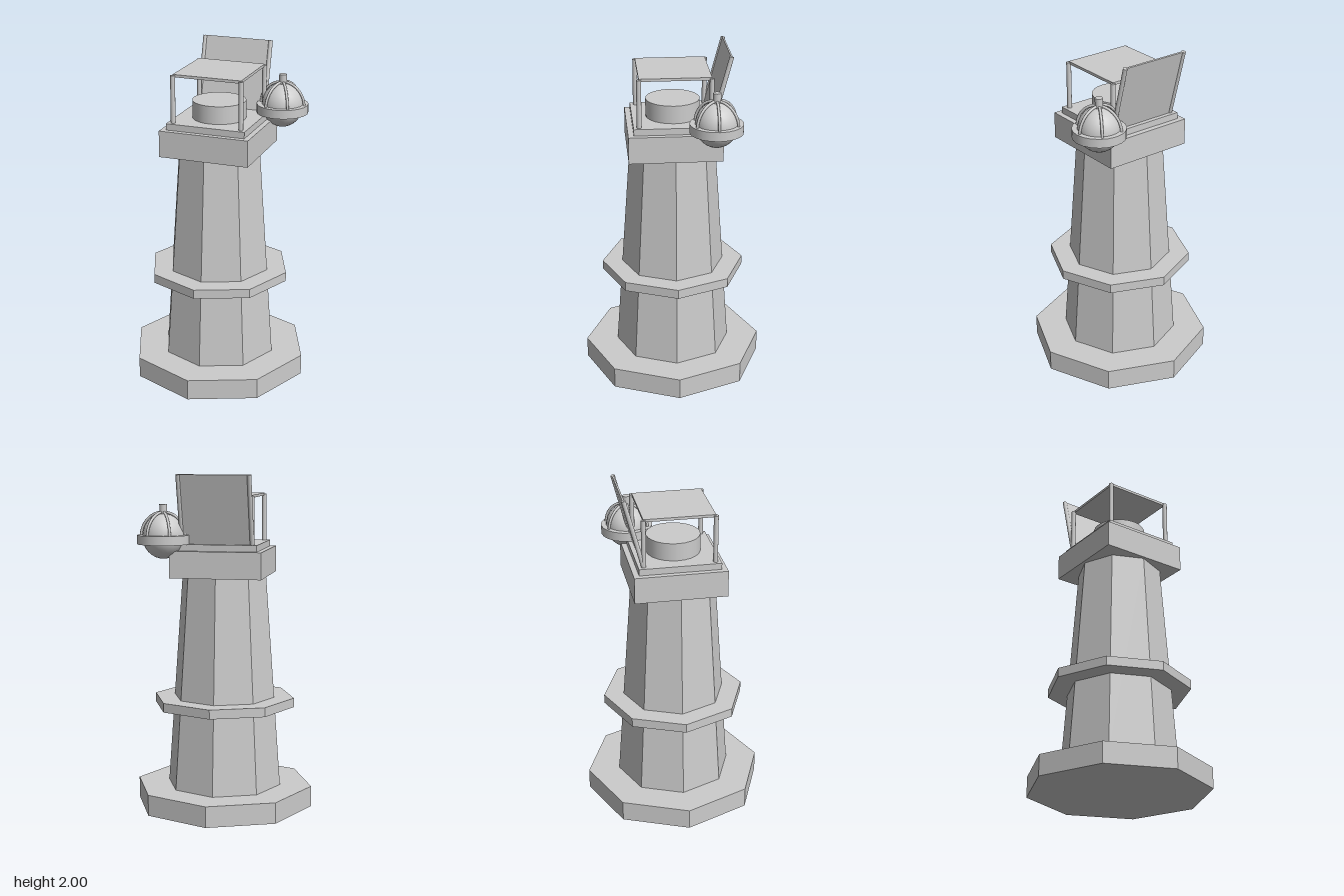
import * as THREE from 'three';

export function createModel() {
  const model = new THREE.Group();
  model.name = 'lighthouseTower';

  const stone = new THREE.MeshStandardMaterial({ color: 0xcccccc });
  stone.name = 'pale grey';
  // Faceted copy of the same colour for the masonry
  const faceted = new THREE.MeshStandardMaterial({ color: 0xcccccc });
  faceted.name = 'pale grey faceted';
  faceted.flatShading = true;

  const add = (name, geometry, material = stone, parent = model) => {
    const mesh = new THREE.Mesh(geometry, material);
    mesh.name = name;
    parent.add(mesh);
    return mesh;
  };
  // Upright prism between two heights
  const drum = (name, rTop, rBottom, y0, y1, sides, material, parent) => {
    const mesh = add(name, new THREE.CylinderGeometry(rTop, rBottom, y1 - y0, sides), material, parent);
    mesh.position.y = (y0 + y1) / 2;
    return mesh;
  };
  const slab = (name, width, y0, y1) => {
    add(name, new THREE.BoxGeometry(width, y1 - y0, width)).position.y = (y0 + y1) / 2;
  };
  // Round rod between two points
  const rod = (name, a, b, radius) => {
    const from = new THREE.Vector3(...a), to = new THREE.Vector3(...b);
    const mesh = add(name, new THREE.CylinderGeometry(radius, radius, from.distanceTo(to), 12));
    mesh.position.lerpVectors(from, to, 0.5);
    mesh.quaternion.setFromUnitVectors(new THREE.Vector3(0, 1, 0), to.sub(from).normalize());
  };

  // Octagonal masonry
  drum('plinth', 0.537, 0.537, 0, 0.125, 8, faceted);
  drum('towerShaft', 0.254, 0.346, 0.125, 1.4, 8, faceted);
  drum('gallery', 0.427, 0.427, 0.61, 0.665, 8, faceted);

  // Square head and lamp drum
  slab('cap', 0.54, 1.4, 1.557);
  slab('deck', 0.476, 1.557, 1.595);
  drum('lampDrum', 0.158, 0.158, 1.595, 1.7, 24);

  // Canopy on four posts, with two raked rods for the back panel
  slab('canopy', 0.412, 1.864, 1.88);
  for (const x of [-0.206, 0.206]) {
    for (const z of [-0.206, 0.206]) rod('canopyPost', [x, 1.59, z], [x, 1.874, z], 0.014);
    rod('panelRod', [x, 1.59, -0.206], [x, 1.996, -0.314], 0.013);
  }
  const panel = add('backPanel', new THREE.BoxGeometry(0.412, 0.418, 0.01));
  panel.position.set(0, 1.795, -0.26);
  panel.rotation.x = -Math.atan2(0.108, 0.406);

  // Caged globe at the back corner
  const lamp = new THREE.Group();
  lamp.name = 'cagedGlobe';
  lamp.position.set(0.315, 0, -0.222);
  model.add(lamp);
  const globe = add('globe', new THREE.SphereGeometry(0.123, 24, 16), stone, lamp);
  globe.scale.y = 1.06;
  globe.position.y = 1.64;
  drum('globeBand', 0.153, 0.153, 1.595, 1.648, 20, stone, lamp);
  drum('globeKnob', 0.023, 0.023, 1.76, 1.825, 12, stone, lamp);

  // Six bent ribs from the knob down to the band
  const points = [];
  for (let i = 0; i <= 6; i++) {
    const t = (i / 6) * Math.PI / 2;
    points.push(new THREE.Vector3(0.134 * Math.cos(t), 1.635 + 0.145 * Math.sin(t), 0));
  }
  const ribGeometry = new THREE.TubeGeometry(new THREE.CatmullRomCurve3(points), 14, 0.008, 8);
  for (let i = 0; i < 6; i++) add('globeRib', ribGeometry, stone, lamp).rotation.y = i * Math.PI / 3;

  return model;
}
